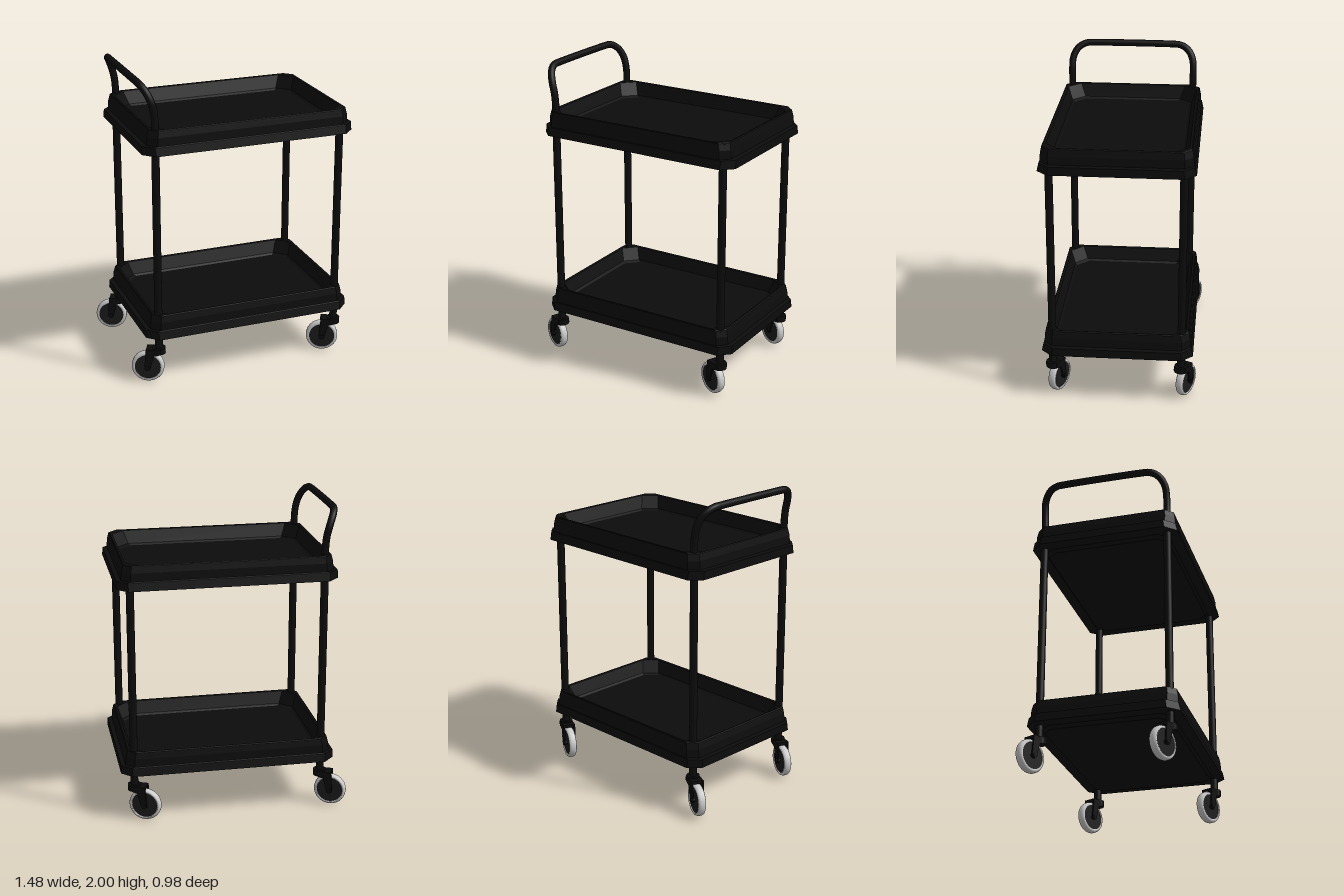
import * as THREE from 'three';

const black = new THREE.MeshStandardMaterial({ color: 0x0c0c0c });
const hubMat = new THREE.MeshStandardMaterial({ color: 0x1c1c1c });
const grey = new THREE.MeshStandardMaterial({ color: 0xcccccc });

const LEG_X = [-0.575, 0.655];
const LEG_Z = [-0.395, 0.425];
const LEG_R = 0.025;

function add(parent, name, geometry, material, x = 0, y = 0, z = 0) {
  const mesh = new THREE.Mesh(geometry, material);
  mesh.name = name;
  mesh.position.set(x, y, z);
  parent.add(mesh);
  return mesh;
}

// Rectangle with cut corners, counter-clockwise from above
function cutRect([hx, hz, y, c]) {
  return [
    [hx, hz - c], [hx, c - hz], [hx - c, -hz], [c - hx, -hz],
    [-hx, c - hz], [-hx, hz - c], [c - hx, hz], [hx - c, hz],
  ].map(([x, z]) => [x, y, z]);
}

// Tray skin: loops from the underside, round the rim and down to the floor
function trayGeometry() {
  const loops = [
    [0, 0, 0, 0],
    [0.595, 0.4, 0, 0.06],
    [0.615, 0.415, 0.02, 0.06],
    [0.7, 0.482, 0.02, 0.07],
    [0.698, 0.47, 0.073, 0.065],
    [0.67, 0.465, 0.077, 0.055],
    [0.665, 0.462, 0.13, 0.052],
    [0.655, 0.454, 0.172, 0.05],
    [0.65, 0.449, 0.176, 0.05],
    [0.635, 0.434, 0.172, 0.08],
    [0.605, 0.404, 0.09, 0.08],
    [0.59, 0.389, 0.08, 0.08],
    [0, 0, 0.08, 0],
  ].map(cutRect);
  const pos = [];
  for (let k = 0; k < loops.length - 1; k++) {
    const a = loops[k], b = loops[k + 1];
    for (let i = 0; i < 8; i++) {
      const j = (i + 1) % 8;
      if (k > 0) pos.push(...a[i], ...a[j], ...b[j]);
      if (k === 0 || k < loops.length - 2) pos.push(...a[i], ...b[j], ...b[i]);
    }
  }
  const g = new THREE.BufferGeometry();
  g.setAttribute('position', new THREE.Float32BufferAttribute(pos, 3));
  g.computeVertexNormals();
  return g;
}

// Push handle: the two uprights bend outward and join in a top bar
function handleGeometry() {
  const side = [
    [-0.575, 1.66, 0], [-0.575, 1.75, 0], [-0.582, 1.82, 0], [-0.598, 1.88, 0.004],
    [-0.619, 1.93, 0.025], [-0.637, 1.961, 0.058], [-0.648, 1.976, 0.1], [-0.65, 1.978, 0.14],
  ];
  const back = side.map(([x, y, d]) => new THREE.Vector3(x, y, LEG_Z[0] + d));
  const front = side.map(([x, y, d]) => new THREE.Vector3(x, y, LEG_Z[1] - d)).reverse();
  const curve = new THREE.CatmullRomCurve3([...back, ...front], false, 'centripetal');
  return new THREE.TubeGeometry(curve, 96, 0.023, 14);
}

// Swivel caster, trailing along its local +x
function makeCaster() {
  const caster = new THREE.Group();
  caster.name = 'caster';
  const ax = 0.072, ay = 0.107, r = 0.105;

  const tyre = [
    [0.084, -0.024], [0.092, -0.026], [0.1, -0.021], [r, -0.01],
    [r, 0.01], [0.1, 0.021], [0.092, 0.026], [0.084, 0.024], [0.084, -0.024],
  ].map(([x, y]) => new THREE.Vector2(x, y));
  add(caster, 'tyre', new THREE.LatheGeometry(tyre, 40).rotateX(Math.PI / 2), grey, ax, ay);
  add(caster, 'wheelDisc', new THREE.CylinderGeometry(0.086, 0.086, 0.038, 32).rotateX(Math.PI / 2), hubMat, ax, ay);
  add(caster, 'axle', new THREE.CylinderGeometry(0.014, 0.014, 0.09, 12).rotateX(Math.PI / 2), black, ax, ay);

  // Fork plates taper from the crown down to the axle
  const plate = new THREE.Shape();
  plate.moveTo(-0.02, 0.235);
  plate.lineTo(0.082, 0.235);
  plate.lineTo(ax + 0.02, ay);
  plate.absarc(ax, ay, 0.02, 0, -Math.PI, true);
  plate.lineTo(0.03, 0.19);
  plate.lineTo(-0.02, 0.205);
  const plateGeo = new THREE.ExtrudeGeometry(plate, { depth: 0.01, bevelEnabled: false });
  for (const z of [-0.041, 0.031]) add(caster, 'forkPlate', plateGeo, black, 0, 0, z);
  add(caster, 'forkCrown', new THREE.BoxGeometry(0.1, 0.02, 0.08), black, 0.03, 0.226, 0);

  // Swivel bearing and stem
  add(caster, 'swivel', new THREE.CylinderGeometry(0.043, 0.043, 0.04, 20), black, 0, 0.222, 0);
  add(caster, 'stem', new THREE.CylinderGeometry(LEG_R, LEG_R, 0.09, 20), black, 0, 0.275, 0);
  return caster;
}

export function createModel() {
  const cart = new THREE.Group();
  cart.name = 'serviceCart';

  // Two identical trays
  const tray = trayGeometry();
  add(cart, 'lowerTray', tray, black, 0.04, 0.302, 0.012);
  add(cart, 'upperTray', tray, black, 0.04, 1.53, 0.012);

  // Legs with a caster under each
  const legGeo = new THREE.CylinderGeometry(LEG_R, LEG_R, 1.4, 20);
  for (const x of LEG_X) {
    for (const z of LEG_Z) {
      add(cart, 'leg', legGeo, black, x, 1.0, z);
      const caster = makeCaster();
      caster.position.set(x, 0, z);
      caster.rotation.y = Math.PI - 0.43;
      cart.add(caster);
    }
  }

  add(cart, 'pushHandle', handleGeometry(), black);
  return cart;
}
